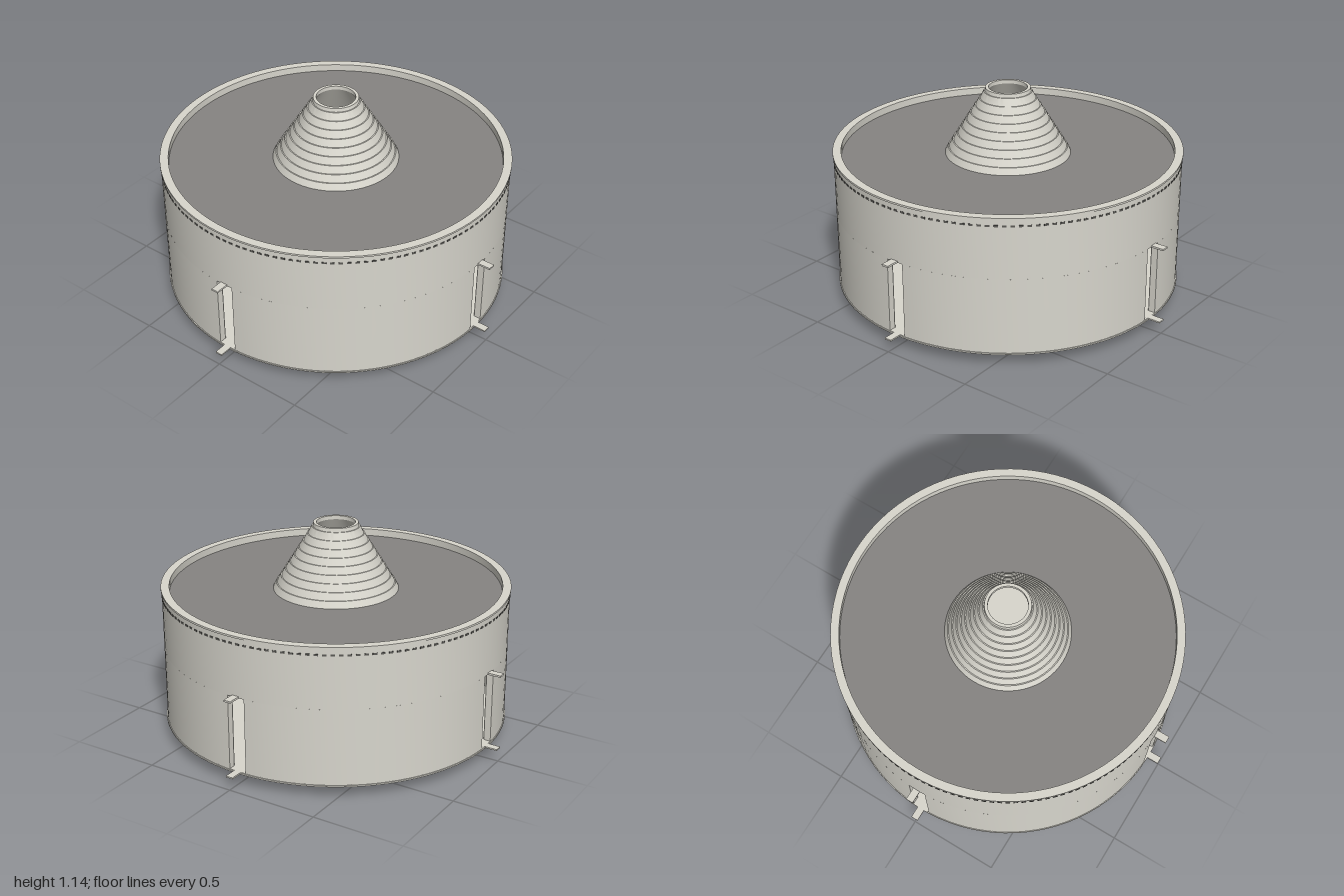
import * as THREE from 'three';
import { toCreasedNormals, mergeGeometries } from 'three/addons/utils/BufferGeometryUtils.js';

const R = 0.93, INNER = 0.89, SLOT_HALF = 0.05, SLOT_TOP = 0.485;
const SEG = 96;

function mat(name, color, side = THREE.FrontSide) {
  const m = new THREE.MeshStandardMaterial({ color, side });
  m.name = name;
  return m;
}

// Revolved profile of [radius, height] pairs, smooth around and sharp at corners
function revolve(pairs, seg = SEG, start = 0, length = Math.PI * 2) {
  const pts = pairs.map(([r, y]) => new THREE.Vector2(r, y));
  return toCreasedNormals(new THREE.LatheGeometry(pts, seg, start, length), 0.4);
}

// Rectangular ring between two radii and two heights
function ring(r0, r1, y0, y1, seg, start, length) {
  return revolve([[r0, y0], [r1, y0], [r1, y1], [r0, y1], [r0, y0]], seg, start, length);
}

export function createModel() {
  const group = new THREE.Group();
  const shell = mat('warm grey shell', 0xd8d6cd, THREE.DoubleSide);
  const dark = mat('dark grey deck', 0x868482);
  const line = mat('seam grey', 0x5a5955);
  const blue = mat('blue grey base', 0xa0abad);

  function add(name, geometry, material, parent = group) {
    const mesh = new THREE.Mesh(geometry, material);
    mesh.name = name;
    parent.add(mesh);
    return mesh;
  }

  // Foot disc with a flush centre plate
  add('footDisc', new THREE.CylinderGeometry(0.313, 0.313, 0.064, 64).translate(0, 0.033, 0), blue);
  add('footCentre', new THREE.CylinderGeometry(0.14, 0.14, 0.004, 48).translate(0, 0.002, 0), shell);

  // Drum: floor, upper wall and edge beads
  add('floor', new THREE.CylinderGeometry(R, R, 0.01, SEG).translate(0, 0.07, 0), shell);
  add('upperWall', ring(INNER, R, SLOT_TOP, 0.812), shell);
  add('topBead', ring(INNER, 0.935, 0.805, 0.815), shell);
  add('bottomBead', ring(0.915, 0.935, 0.065, 0.073), shell);

  // Recessed deck, open under the funnel
  add('deck', ring(0.31, INNER + 0.005, 0.765, 0.775), dark);

  // Four wall quarters with slots and tabs between them
  const slotAngle = Math.asin(SLOT_HALF / R);
  for (let i = 0; i < 4; i++) {
    const side = new THREE.Group();
    side.name = 'wallQuarter' + (i + 1);
    side.rotation.y = i * Math.PI / 2;
    group.add(side);
    add('lowerWall', ring(INNER, R, 0.07, SLOT_TOP, 24, slotAngle, Math.PI / 2 - 2 * slotAngle), shell, side);
    for (const s of [-1, 1]) {
      add('slotJamb', new THREE.BoxGeometry(0.004, SLOT_TOP - 0.07, R - INNER - 0.003)
        .translate(s * (SLOT_HALF + 0.001), (SLOT_TOP + 0.07) / 2, (R + INNER) / 2 - 0.001), shell, side);
    }
    add('upperTab', new THREE.BoxGeometry(0.04, 0.01, 0.1).translate(0, 0.489, 0.95), shell, side);
    add('lowerTab', new THREE.BoxGeometry(0.04, 0.008, 0.1).translate(0, 0.071, 0.95), shell, side);
  }

  // Row of short seam marks around the top of the wall
  const marks = [];
  for (let i = 0; i < 144; i++) {
    marks.push(new THREE.BoxGeometry(0.022, 0.01, 0.004)
      .translate(0, 0.772, R).rotateY((i + 0.5) / 144 * Math.PI * 2));
  }
  add('seamMarks', mergeGeometries(marks), line);

  // Stepped funnel: outer steps, collar, then back down the inside
  const steps = 9, outer = [], inner = [];
  for (let i = 0; i <= steps; i++) {
    const t = i / steps;
    const r = 0.338 - 0.215 * t, y = 0.772 + 0.348 * t;
    if (i > 0) outer.push([r + 0.006, y]);
    outer.push([r, y]);
    inner.unshift([r - 0.02, y]);
  }
  add('funnel', revolve([...outer, [0.12, 1.14], [0.103, 1.14], ...inner], 64), shell);

  // Central post with a stepped foot
  add('centrePost', revolve([[0, 0.075], [0.048, 0.075], [0.048, 0.09], [0.042, 0.092], [0.042, 0.11],
    [0.036, 0.115], [0.03, 0.2], [0.03, 0.49], [0, 0.49]], 32), shell);

  return group;
}
